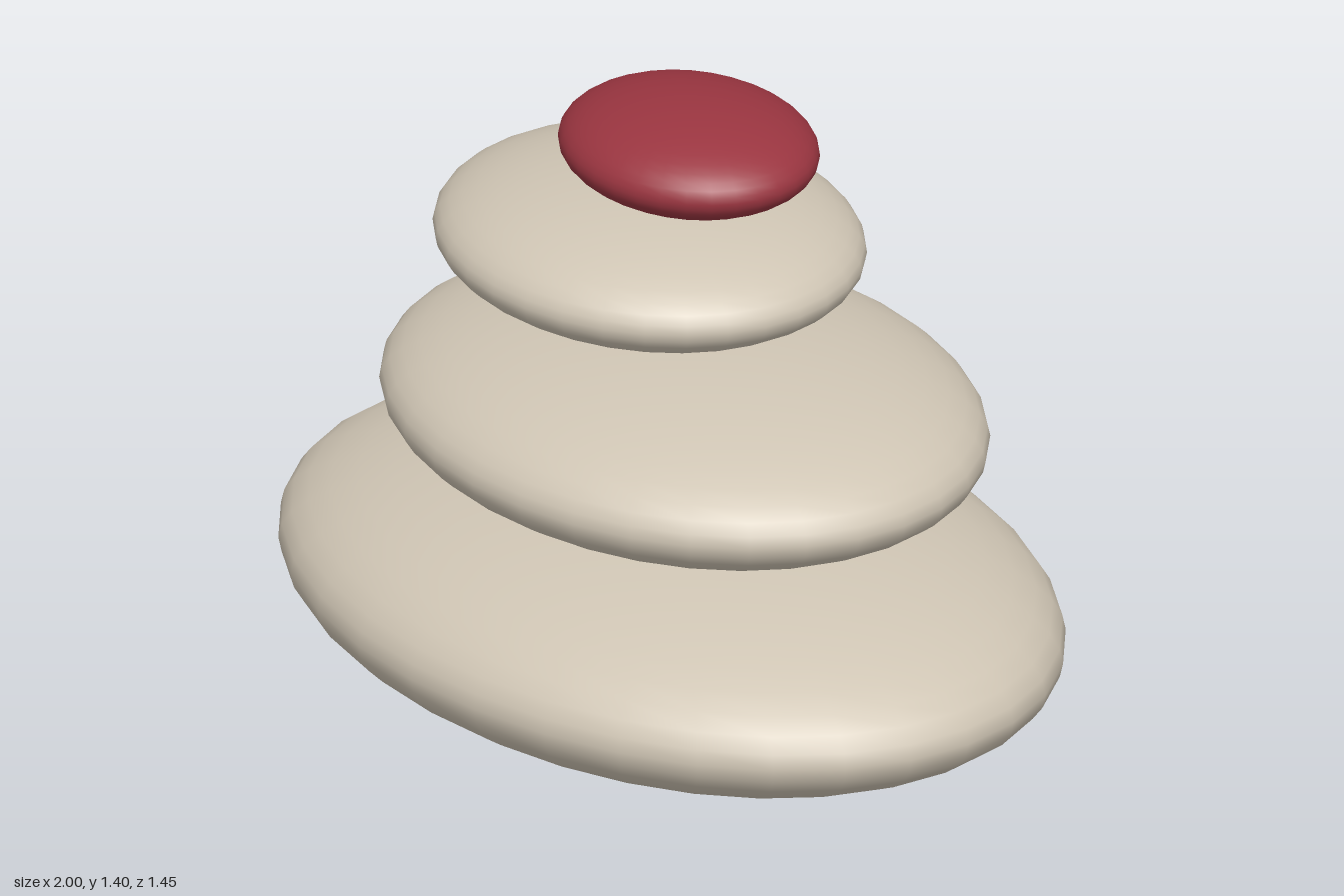
import * as THREE from 'three';

// Stacked pebbles: centre and radii of each flattened stone, bottom to top
const STONES = [
  { name: 'baseStone', at: [0, 0.255, 0], radii: [1, 0.253, 0.725] },
  { name: 'lowerStone', at: [0.043, 0.697, 0], radii: [0.743, 0.195, 0.59] },
  { name: 'upperStone', at: [-0.12, 1.032, -0.037], radii: [0.507, 0.148, 0.437] },
  { name: 'topStone', at: [0, 1.293, -0.047], radii: [0.307, 0.108, 0.263], red: true },
];

export function createModel() {
  const group = new THREE.Group();
  group.name = 'stoneStack';
  const stone = new THREE.MeshStandardMaterial({ color: 0xcfc5b4 });
  const red = new THREE.MeshStandardMaterial({ color: 0x9a3540 });

  for (const { name, at, radii, red: isRed } of STONES) {
    // scaling the geometry keeps its smooth normals correct
    const geometry = new THREE.SphereGeometry(1, 32, 24).scale(...radii);
    const mesh = new THREE.Mesh(geometry, isRed ? red : stone);
    mesh.name = name;
    mesh.position.set(...at);
    group.add(mesh);
  }
  return group;
}
